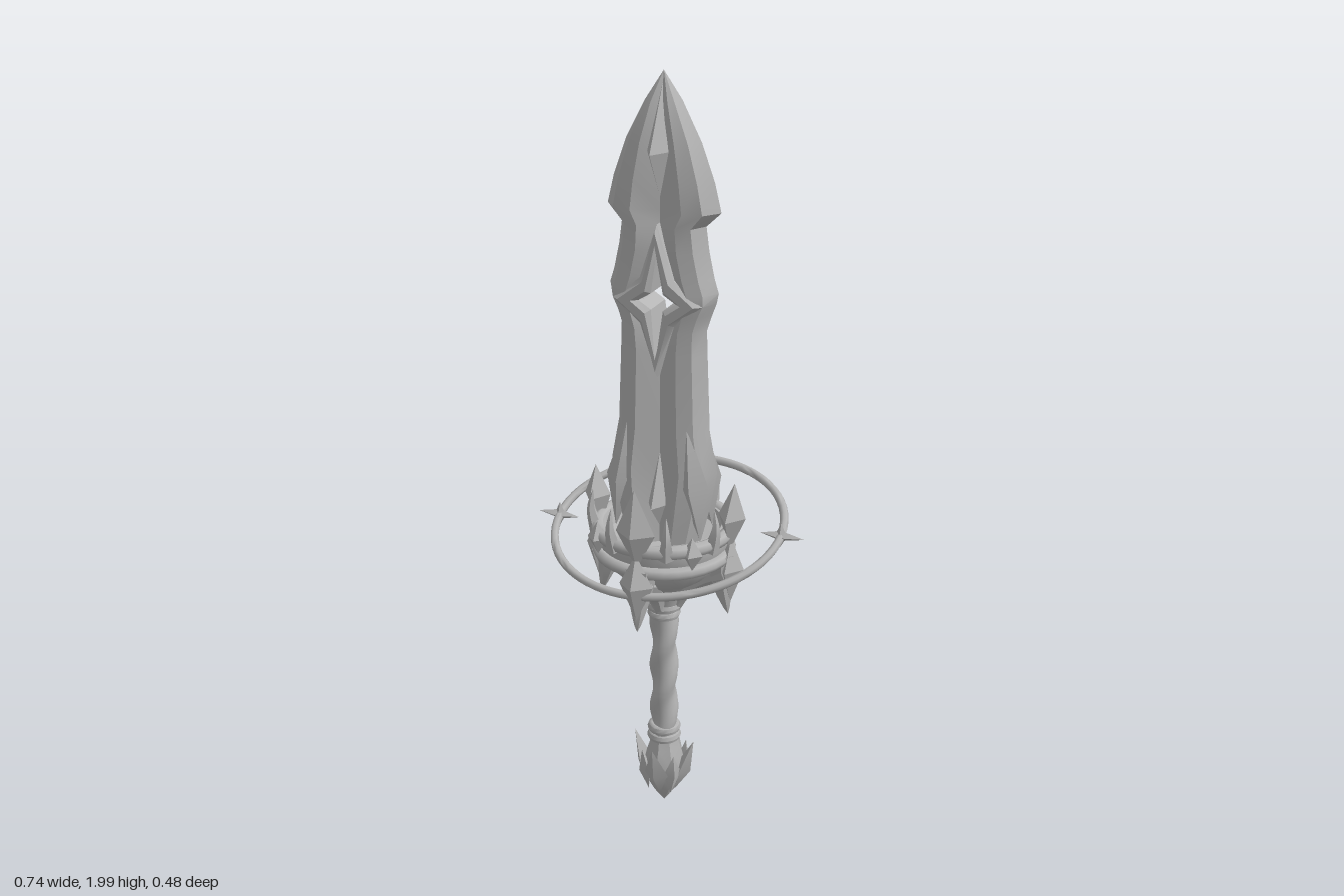
import * as THREE from 'three';
import { toCreasedNormals } from 'three/addons/utils/BufferGeometryUtils.js';

const steel = new THREE.MeshStandardMaterial({ color: 0xb4b4b4 });
steel.name = 'grey steel';
const V = (x, y, z) => new THREE.Vector3(x, y, z);

function part(parent, name, geo, crease = 0.5) {
  const mesh = new THREE.Mesh(toCreasedNormals(geo, crease), steel);
  mesh.name = name;
  parent.add(mesh);
  return mesh;
}

// Four-sided double pyramid, widest at its origin
function gem(up, down, w, d) {
  const pts = [[0, -down], [1, 0], [0, up]].map(p => new THREE.Vector2(...p));
  return new THREE.LatheGeometry(pts, 4).scale(w, 1, d);
}

function lathe(points, sides) {
  return new THREE.LatheGeometry(points.map(p => new THREE.Vector2(...p)), sides);
}

// Tapered tube along a curve; radius(t) gives the thickness
function horn(points, radius, sides = 7, n = 10) {
  const curve = new THREE.CatmullRomCurve3(points);
  const geo = new THREE.TubeGeometry(curve, n, 1, sides);
  const pos = geo.attributes.position, v = V(0, 0, 0);
  for (let i = 0; i < pos.count; i++) {
    const t = Math.floor(i / (sides + 1)) / n, c = curve.getPointAt(t);
    v.fromBufferAttribute(pos, i).sub(c).multiplyScalar(radius(t)).add(c);
    pos.setXYZ(i, v.x, v.y, v.z);
  }
  return geo;
}

// One half of the blade: y, inner x, outer x, ridge half-thickness
const bladeStations = [
  [0.82, 0, 0.1, 0.07], [0.92, 0, 0.125, 0.07], [1.02, 0, 0.143, 0.062], [1.13, 0, 0.122, 0.056],
  [1.33, 0, 0.114, 0.053], [1.39, 0.01, 0.112, 0.053], [1.43, 0.02, 0.125, 0.053], [1.46, 0.045, 0.136, 0.053],
  [1.485, 0.025, 0.141, 0.053], [1.52, 0.014, 0.13, 0.053], [1.585, 0, 0.116, 0.053], [1.645, 0, 0.108, 0.054],
  [1.68, 0, 0.145, 0.054], [1.75, 0, 0.128, 0.052], [1.84, 0, 0.095, 0.045], [1.93, 0, 0.047, 0.03], [2, 0, 0, 0],
];
function bladeHalf(side) {
  const pos = [], index = [], n = 7;
  bladeStations.forEach(([y, xi, xo, z], i) => {
    const xm = xi + (xo - xi) * 0.45, xb = xi + (xo - xi) * 0.78;
    const section = [[xi, z * 0.45], [xm, z], [xb, z * 0.8], [xo, 0], [xb, -z * 0.8], [xm, -z], [xi, -z * 0.45]];
    section.forEach(([x, zz]) => pos.push(x * side, y, zz));
    if (!i) return;
    for (let j = 0; j < n; j++) {
      const a = (i - 1) * n + j, b = (i - 1) * n + (j + 1) % n, c = a + n, d = b + n;
      if (side > 0) index.push(a, b, d, a, d, c);
      else index.push(a, d, b, a, c, d);
    }
  });
  const geo = new THREE.BufferGeometry();
  geo.setAttribute('position', new THREE.Float32BufferAttribute(pos, 3));
  geo.setIndex(index);
  return geo;
}

// Four-pointed star outline
function star(Type, w, h, waist) {
  const pts = [];
  for (let i = 0; i < 8; i++) {
    const a = i * Math.PI / 4, odd = i % 2;
    pts.push(new THREE.Vector2(Math.cos(a) * (odd ? waist : w), Math.sin(a) * (odd ? waist * 1.3 : h)));
  }
  return new Type(pts);
}

function makeBlade() {
  const g = new THREE.Group();
  g.name = 'blade';
  for (const s of [1, -1]) part(g, 'bladeHalf', bladeHalf(s), 0.4);

  // Raised star frame around the opening
  const frame = star(THREE.Shape, 0.115, 0.19, 0.062);
  frame.holes.push(star(THREE.Path, 0.048, 0.125, 0.022));
  part(g, 'starFrame', new THREE.ExtrudeGeometry(frame, {
    depth: 0.09, bevelThickness: 0.014, bevelSize: 0.012, bevelOffset: -0.012, bevelSegments: 1,
  }).translate(0, 1.46, -0.045));

  // Kite boss near the tip, through both faces
  part(g, 'tipBoss', gem(0.165, 0.15, 0.046, 0.087)).position.y = 1.82;

  // Leaves hugging the foot of the blade, and a central root gem
  for (const x of [1, -1]) for (const z of [1, -1]) {
    const leaf = part(g, 'footLeaf', gem(0.17, 0.14, 0.04, 0.035));
    leaf.position.set(x * 0.098, 0.99, z * 0.045);
    leaf.rotation.z = x * 0.12;
  }
  part(g, 'rootGem', gem(0.2, 0.1, 0.05, 0.085)).position.y = 0.93;
  return g;
}

function makeGuard() {
  const g = new THREE.Group();
  g.name = 'guard';
  part(g, 'cup', lathe([[0.035, 0.6], [0.048, 0.65], [0.065, 0.69], [0.115, 0.725], [0.16, 0.77], [0.17, 0.83],
    [0.172, 0.865], [0.15, 0.865], [0.14, 0.83], [0, 0.8]], 24), 0.7);
  for (const [y, r, t] of [[0.855, 0.17, 0.018], [0.795, 0.168, 0.017]]) {
    part(g, 'rimBand', new THREE.TorusGeometry(r, t, 8, 32).rotateX(Math.PI / 2), 1).position.y = y;
  }
  // Four crown points: front, left, back, right
  [1.03, 1.0, 1.06, 0.99].forEach((top, i) => {
    const q = new THREE.Group();
    q.name = 'crownPoint';
    q.rotation.y = i * Math.PI / 2;
    const spear = part(q, 'upperSpear', gem(top - 0.91, 0.1, 0.052, 0.036));
    spear.position.set(0, 0.91, 0.185);
    spear.rotation.x = 0.06;
    part(q, 'shieldGem', gem(0.085, 0.1, 0.045, 0.036)).position.set(0, 0.765, 0.183);
    part(q, 'fang', horn([V(0, 0.8, 0.15), V(0, 0.73, 0.158), V(0, 0.63, 0.178)],
      t => 0.046 * (1 - t) ** 0.75), 0.8);
    part(q, 'cupRib', horn([V(0, 0.62, 0.03), V(0, 0.68, 0.06), V(0, 0.735, 0.12), V(0, 0.76, 0.17)],
      t => 0.016 + 0.022 * t), 0.8);
    for (const a of [-0.42, 0.42]) {
      const s = Math.sin(a), c = Math.cos(a);
      part(q, 'smallSpike', horn([V(s * 0.17, 0.84, c * 0.17), V(s * 0.185, 0.9, c * 0.185), V(s * 0.18, 0.955, c * 0.18)],
        t => 0.021 * (1 - t) ** 0.8, 5), 0.6);
    }
    const knob = part(q, 'rimKnob', gem(0.045, 0.045, 0.028, 0.028));
    knob.position.set(0.128, 0.85, 0.128);
    g.add(q);
  });
  return g;
}

function makeHandle() {
  const g = new THREE.Group();
  g.name = 'handle';
  // Spiral-wrapped grip
  const grip = new THREE.CylinderGeometry(0.034, 0.034, 0.42, 16, 48, true).translate(0, 0.43, 0);
  const pos = grip.attributes.position;
  for (let i = 0; i < pos.count; i++) {
    const x = pos.getX(i), y = pos.getY(i), z = pos.getZ(i);
    const k = 1 + 0.14 * Math.sin(2 * Math.atan2(z, x) + y * 48);
    pos.setXYZ(i, x * k, y, z * k);
  }
  part(g, 'grip', grip, 1);
  for (const [y, r] of [[0.625, 0.036], [0.6, 0.031], [0.25, 0.032], [0.225, 0.033]]) {
    part(g, 'collar', new THREE.TorusGeometry(r, 0.013, 8, 20).rotateX(Math.PI / 2), 1).position.y = y;
  }

  // Pommel: faceted drop with flared leaves
  part(g, 'pommel', lathe([[0, 0.01], [0.028, 0.05], [0.054, 0.1], [0.058, 0.14], [0.042, 0.19], [0.034, 0.23]], 8));
  for (let i = 0; i < 8; i++) {
    const q = new THREE.Group(), main = i % 2 === 0;
    q.name = 'pommelLeaf';
    q.rotation.y = i * Math.PI / 4;
    const leaf = part(q, 'leaf', main ? gem(0.095, 0.08, 0.034, 0.022) : gem(0.06, 0.07, 0.026, 0.018));
    leaf.position.set(0, 0.128, 0.056);
    leaf.rotation.x = main ? 0.32 : 0.15;
    g.add(q);
  }
  return g;
}

function makeHalo() {
  const g = new THREE.Group();
  g.name = 'halo';
  const at = a => {
    const x = 0.308 * Math.cos(a), z = 0.217 * Math.sin(a);
    return V(x, 0.837 + 0.08 * x - 0.47 * z, z - 0.015);
  };
  const pts = Array.from({ length: 24 }, (_, i) => at(i * Math.PI / 12));
  part(g, 'haloRing', new THREE.TubeGeometry(new THREE.CatmullRomCurve3(pts, true), 72, 0.011, 8, true), 1);
  // Star at each end of the ring
  for (const a of [0, Math.PI]) {
    const s = new THREE.Group();
    s.name = 'haloStar';
    s.position.copy(at(a));
    part(s, 'longRay', gem(0.062, 0.055, 0.014, 0.016).rotateZ(a ? Math.PI / 2 : -Math.PI / 2));
    part(s, 'uprightRay', gem(0.035, 0.03, 0.016, 0.014));
    part(s, 'crossRay', gem(0.05, 0.02, 0.014, 0.014).rotateX(-Math.PI / 2 + 0.43));
    g.add(s);
  }
  // Strut joining the ring to the crown
  part(g, 'strut', horn([V(-0.035, 0.935, -0.23), V(-0.025, 0.92, -0.19), V(-0.01, 0.9, -0.15)], t => 0.012 - 0.004 * t), 1);
  return g;
}

export function createModel() {
  const model = new THREE.Group();
  model.name = 'sword';
  const sword = new THREE.Group();
  sword.name = 'swordBody';
  sword.position.set(0.004, 0, 0.018);
  sword.add(makeBlade(), makeGuard(), makeHandle());
  model.add(sword, makeHalo());
  return model;
}
